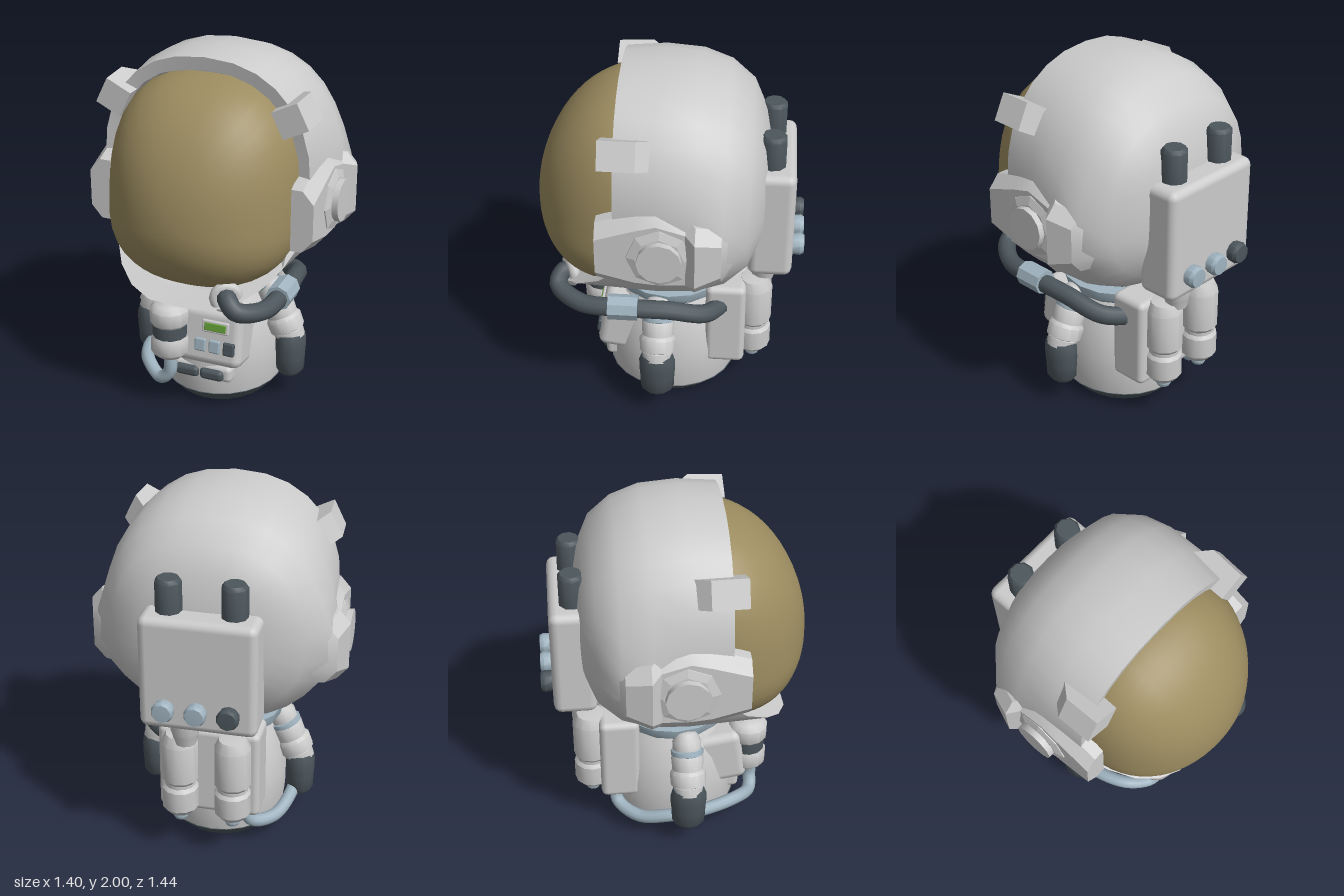
import * as THREE from 'three';
import { toCreasedNormals } from 'three/addons/utils/BufferGeometryUtils.js';
import { RoundedBoxGeometry } from 'three/addons/geometries/RoundedBoxGeometry.js';

const paint = (color) => new THREE.MeshStandardMaterial({ color, side: THREE.DoubleSide });
const grey = paint(0xcccccc), dark = paint(0x4c565c), blue = paint(0x9fb3bf);
const gold = paint(0x9c8c60), green = paint(0x66a238);
const V = (x, y, z) => new THREE.Vector3(x, y, z);

function add(parent, name, geo, mat, x = 0, y = 0, z = 0) {
  const m = new THREE.Mesh(geo, mat);
  m.name = name;
  m.position.set(x, y, z);
  parent.add(m);
  return m;
}

// Skin over closed rings of equal length, running from front to back
function loft(rings, crease) {
  const n = rings[0].length, idx = [];
  for (let k = 0; k < rings.length - 1; k++)
    for (let i = 0; i < n; i++) {
      const a = k * n + i, b = k * n + (i + 1) % n;
      idx.push(a, a + n, b, a + n, b + n, b);
    }
  const g = new THREE.BufferGeometry().setFromPoints(rings.flat());
  g.setIndex(idx);
  return toCreasedNormals(g, crease);
}

const lathe = (pts, sides = 12, crease = 0.82) =>
  toCreasedNormals(new THREE.LatheGeometry(pts.map(p => new THREE.Vector2(...p)), sides), crease);
const tube = (pts, r) =>
  new THREE.TubeGeometry(new THREE.CatmullRomCurve3(pts.map(p => V(...p))), 60, r, 10);
const box = (w, h, d, r = 0.03) => new RoundedBoxGeometry(w, h, d, 2, r);

// Rounded outline of the helmet: the chin sweeps forward below y = 1,
// and the sides bulge at ear height
function helmetRing(sx, sy, z, chin = 0, bulge = 0, sides = 28) {
  const pow = (v, e) => Math.sign(v) * Math.abs(v) ** e;
  return Array.from({ length: sides }, (_, i) => {
    const a = i / sides * Math.PI * 2, e = Math.sin(a) > 0 ? 0.87 : 0.8;
    const y = 1.36 + 0.64 * sy * pow(Math.sin(a), e), c = pow(Math.cos(a), e);
    const x = 0.61 * sx * c + bulge * c * Math.exp(-(((y - 1.22) / 0.27) ** 2));
    return V(x, y, z + chin * Math.min(0.25, Math.max(0, 1 - y)));
  });
}

function buildHelmet(g) {
  const shell = [[0.95, 0.975, 0.26, 1.4], [0.99, 1, 0.05], [0.98, 0.975, -0.15, 0, 0.05],
    [0.92, 0.89, -0.3, 0, 0.08], [0.81, 0.73, -0.42, 0, 0.015], [0.58, 0.5, -0.49],
    [0.28, 0.22, -0.525], [0, 0, -0.53]];
  add(g, 'helmetShell', loft(shell.map(r => helmetRing(...r)), 1.2), grey);
  const rim = [[0.82, 0.83, 0.08, 0.7], [0.85, 0.865, 0.25, 1.4], [0.95, 0.975, 0.26, 1.4]];
  add(g, 'helmetRim', loft(rim.map(r => helmetRing(...r)), 0.5), grey);

  // Visor: squarish at the rim, rounder towards its nose, fuller below
  const rings = [];
  for (let k = 0; k <= 16; k++) {
    const t = (1 - k / 16) * Math.PI / 2;
    rings.push(Array.from({ length: 40 }, (_, i) => {
      const a = i / 40 * Math.PI * 2, c = Math.cos(a), s = Math.sin(a);
      const b = s > 0 ? 0.69 : 0.42, n = 2.1 + (s > 0 ? 0.6 : 0.45) * Math.cos(t);
      const r = (Math.abs(c / 0.525) ** n + Math.abs(s / b) ** n) ** (-1 / n) * Math.cos(t);
      return V(c * r, 1.2 + s * r, 0.2 + 0.52 * Math.sin(t) ** (0.92 + (s > 0 ? 0.14 : 0.28) * s));
    }));
  }
  add(g, 'visor', loft(rings, 1), gold);

  for (const s of [1, -1]) {
    const side = s > 0 ? 'left' : 'right';
    // Ear housing: chamfered sections that flare out, then sink into the shell
    const sections = [[0.35, 0.51, 0.63, 1.04, 1.38], [0.15, 0.5, 0.635, 0.99, 1.45],
      [0.04, 0.5, 0.635, 0.98, 1.48], [-0.11, 0.5, 0.64, 0.99, 1.44], [-0.16, 0.5, 0.7, 1.02, 1.42],
      [-0.29, 0.45, 0.655, 1.06, 1.39], [-0.38, 0.4, 0.5, 1.08, 1.37]];
    const earRings = sections.map(([z, xi, xo, lo, hi]) => {
      const p = [[xi, lo], [xo - 0.06, lo], [xo, lo + 0.07], [xo, hi - 0.07], [xo - 0.06, hi], [xi, hi]]
        .map(([x, y]) => V(s * x, y, z));
      return s > 0 ? p : p.reverse();
    });
    const centre = Array.from({ length: 6 }, () => V(s * 0.57, 1.21, 0.35));
    add(g, side + 'EarHousing', loft([centre, ...earRings], 0.4), grey);
    const bezel = add(g, side + 'EarBezel', lathe([[0.175, 0], [0.17, 0.03], [0.125, 0.045], [0.1, 0.045]], 8, 0.2),
      grey, s * 0.61, 1.22, 0.02);
    const cap = add(g, side + 'EarCap', lathe([[0.115, 0], [0.115, 0.083], [0, 0.083]], 12),
      grey, s * 0.605, 1.22, 0.02);
    bezel.rotation.z = cap.rotation.z = -s * Math.PI / 2;

    // Clip hooked over the rim
    const hook = new THREE.Shape([[-0.075, 0.33], [0.075, 0.33], [0.085, 0.14], [0, 0.05],
      [-0.05, 0.05], [-0.02, 0.25], [-0.075, 0.25]].map(p => new THREE.Vector2(...p)));
    const clipGeo = new THREE.ExtrudeGeometry(hook, { depth: 0.15, bevelEnabled: false });
    clipGeo.translate(0, 0, -0.075).rotateX(Math.PI / 2);
    const clip = add(g, side + 'RimClip', clipGeo, grey, s * 0.487, 1.73, 0);
    clip.rotation.z = s > 0 ? 0.46 : Math.PI - 0.46;
  }
}

function buildBody(g) {
  const body = add(g, 'body', lathe([[0.355, 0.075], [0.372, 0.18], [0.372, 0.32], [0.345, 0.46],
    [0.3, 0.58], [0.24, 0.68]], 24, 1), grey);
  const base = add(g, 'bodyBase', lathe([[0, 0], [0.29, 0], [0.36, 0.075], [0.34, 0.08]], 24), dark);
  body.scale.x = base.scale.x = 0.93;
  add(g, 'collar', lathe([[0.25, 0.64], [0.295, 0.65], [0.315, 0.67], [0.325, 0.725], [0.25, 0.73]], 16, 0.6), blue);
  add(g, 'neck', lathe([[0.25, 0.7], [0.25, 0.82]], 16), dark);

  // Chest panel with screen and buttons
  const panel = new THREE.Group();
  panel.name = 'chestPanel';
  panel.position.set(0, 0.44, 0.3);
  panel.rotation.x = -0.15;
  g.add(panel);
  add(panel, 'panelBody', box(0.51, 0.33, 0.26, 0.05), grey, 0, 0, -0.04);
  add(panel, 'screenFrame', box(0.155, 0.07, 0.03, 0.008), grey, 0.11, 0.07, 0.09);
  add(panel, 'screen', box(0.125, 0.045, 0.02, 0.005), green, 0.11, 0.07, 0.1);
  [blue, blue, dark].forEach((m, i) =>
    add(panel, 'button', box(0.065, 0.075, 0.03, 0.01), m, 0.025 + i * 0.083, -0.045, 0.09));
  add(g, 'beltPlate', box(0.38, 0.1, 0.1), grey, 0, 0.22, 0.32);
  for (const x of [-0.065, 0.08]) add(g, 'beltPouch', box(0.14, 0.065, 0.06, 0.025), dark, x, 0.215, 0.365);

  // Front canister and its hose round to the backpack
  const x = -0.145, z = 0.42;
  add(g, 'canisterTop', lathe([[0, 0.515], [0.09, 0.515], [0.108, 0.535], [0.108, 0.61], [0.08, 0.64], [0, 0.645]]), grey, x, 0, z);
  add(g, 'canisterBand', lathe([[0.095, 0.45], [0.095, 0.52]]), dark, x, 0, z);
  add(g, 'canisterBottom', lathe([[0, 0.32], [0.075, 0.325], [0.105, 0.355], [0.105, 0.43], [0.09, 0.46], [0, 0.46]]), grey, x, 0, z);
  add(g, 'canisterHose', tube([[-0.14, 0.36, 0.44], [-0.14, 0.23, 0.44], [-0.2, 0.17, 0.43], [-0.32, 0.21, 0.34],
    [-0.39, 0.2, 0.15], [-0.39, 0.17, -0.05], [-0.33, 0.13, -0.22], [-0.22, 0.16, -0.33], [-0.17, 0.28, -0.33]], 0.037), blue);
}

function buildArm(g, s) {
  const side = s > 0 ? 'left' : 'right';
  const arm = new THREE.Group();
  arm.name = side + 'Arm';
  arm.position.set(s * 0.428, 0.36, 0.055);
  arm.rotation.z = s * 0.4;
  g.add(arm);
  add(arm, 'elbow', lathe([[0.06, -0.01], [0.08, 0.0], [0.085, 0.05], [0.075, 0.06]]), grey);
  add(arm, 'lowerSleeve', lathe([[0.075, 0.05], [0.097, 0.06], [0.1, 0.13], [0.085, 0.15]]), grey);
  add(arm, 'upperSleeve', lathe([[0.085, 0.14], [0.09, 0.22], [0.08, 0.24]]), grey);
  add(arm, 'sleeveRing', lathe([[0.08, 0.23], [0.09, 0.235], [0.09, 0.26], [0.078, 0.265]]), blue);
  add(arm, 'shoulder', lathe([[0.078, 0.26], [0.08, 0.31], [0.055, 0.36], [0, 0.38]]), grey);
  const glove = add(g, side + 'Glove', lathe([[0, 0.15], [0.06, 0.15], [0.077, 0.175], [0.08, 0.26],
    [0.083, 0.3], [0.083, 0.36], [0.072, 0.4], [0, 0.4]], 12), dark, s * 0.425, 0, 0.055);
  glove.scale.z = 1.2;
}

function buildBackpack(g) {
  add(g, 'upperPack', box(0.62, 0.63, 0.235, 0.045), grey, 0, 1.195, -0.538);
  add(g, 'lowerPack', box(0.56, 0.52, 0.22, 0.035), grey, 0, 0.495, -0.31);
  add(g, 'packNeck', lathe([[0.06, 0.73], [0.07, 0.78], [0.08, 0.81], [0.08, 0.92]], 10), grey, 0.1, 0, -0.505);
  for (const x of [-0.17, 0.17])
    add(g, 'antenna', lathe([[0.07, 1.45], [0.07, 1.67], [0.055, 1.69], [0, 1.69]], 9), dark, x, 0, -0.53);
  [dark, blue, blue].forEach((m, i) => {
    const k = add(g, 'packKnob', lathe([[0.055, 0], [0.06, 0.045], [0.05, 0.065], [0, 0.068]], 10), m, (i - 1) * 0.17, 1.01, -0.652);
    k.rotation.x = -Math.PI / 2;
  });
  for (const x of [-0.145, 0.145]) {
    add(g, 'tank', lathe([[0, 0.255], [0.065, 0.26], [0.1, 0.3], [0.1, 0.42], [0.085, 0.44], [0.085, 0.46],
      [0.1, 0.48], [0.1, 0.7], [0.075, 0.755], [0, 0.765]], 12, 0.6), grey, x, 0, -0.463);
    add(g, 'tankValve', lathe([[0, 0.215], [0.035, 0.215], [0.045, 0.235], [0.035, 0.27]], 10), blue, x, 0, -0.465);
  }
}

function buildAirHose(g) {
  add(g, 'airHose', tube([[0.22, 0.8, 0.48], [0.25, 0.82, 0.57], [0.31, 0.77, 0.6], [0.41, 0.73, 0.47],
    [0.44, 0.73, 0.24], [0.42, 0.71, 0], [0.36, 0.65, -0.2], [0.22, 0.62, -0.3]], 0.051), dark);
  const clamp = add(g, 'hoseClamp', lathe([[0.045, -0.08], [0.07, -0.08], [0.07, 0.08], [0.045, 0.08]], 8, 0.3), blue, 0.435, 0.73, 0.235);
  clamp.rotation.x = Math.PI / 2;
  const socket = add(g, 'hoseSocket', new THREE.TorusGeometry(0.06, 0.03, 8, 12), grey, 0.235, 0.81, 0.54);
  socket.rotation.y = 0.5;
}

export function createModel() {
  const g = new THREE.Group();
  g.name = 'spaceSuitFigure';
  buildHelmet(g);
  buildBody(g);
  buildArm(g, 1);
  buildArm(g, -1);
  buildBackpack(g);
  buildAirHose(g);
  return g;
}
